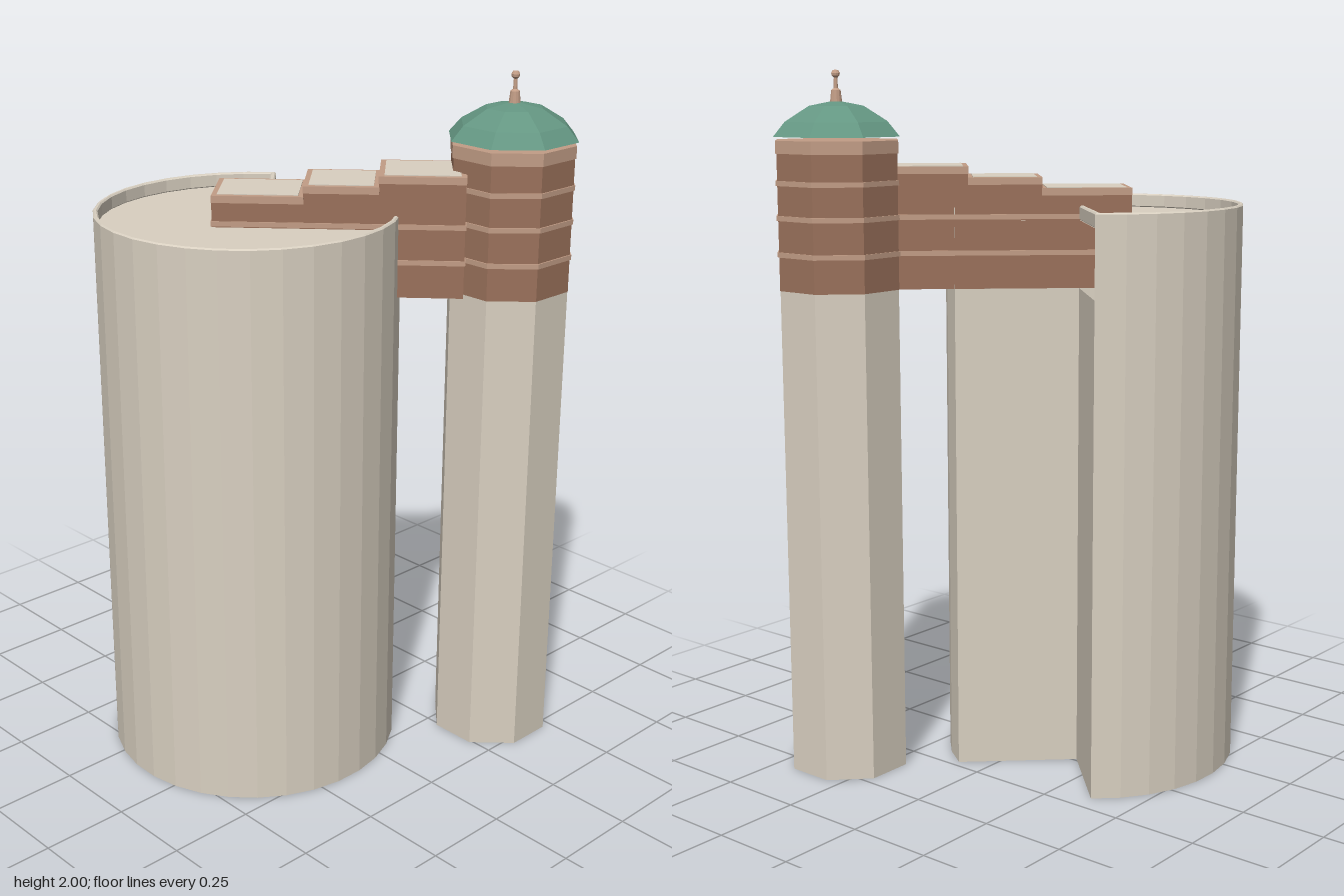
import * as THREE from 'three';

const mat = (name, color) => {
  const m = new THREE.MeshStandardMaterial({ color, side: THREE.DoubleSide, flatShading: true });
  m.name = name;
  return m;
};

export function createModel() {
  const stone = mat('stone', 0xd9d0c1);
  const brick = mat('brick', 0x9a715b);
  const trim = mat('trim', 0xc29d86);
  const copper = mat('copper green', 0x649682);

  const model = new THREE.Group();
  model.name = 'towers';
  const add = (parent, name, geometry, material) => {
    const mesh = new THREE.Mesh(geometry, material);
    mesh.name = name;
    parent.add(mesh);
    return mesh;
  };

  // Round hall: drum with a corner cut out of its back
  const CX = -0.112, CZ = 0.147, R = 0.425, SEG = 26;
  const deg = Math.PI / 180, A0 = 127.4 * deg, A1 = 421.6 * deg;
  const corner = new THREE.Vector2(-0.165, -0.01); // plan points are (x, -z)
  const arc = (r, a0 = A0, a1 = A1) => Array.from({ length: SEG + 1 }, (_, i) => {
    const a = a0 + (a1 - a0) * i / SEG;
    return new THREE.Vector2(CX + r * Math.cos(a), -CZ + r * Math.sin(a));
  });
  const hall = new THREE.Group();
  hall.name = 'roundHall';
  model.add(hall);

  const drum = new THREE.CylinderGeometry(R, R, 1.62, SEG, 1, true, A0 + Math.PI / 2, A1 - A0);
  add(hall, 'drumWall', drum.translate(CX, 0.81, CZ), stone);

  // Straight walls of the cut, stopping below the roof
  const outer = arc(R);
  [outer[0], outer[SEG]].forEach((p, i) => {
    const d = p.clone().sub(corner);
    const wall = add(hall, i ? 'bridgeSideWall' : 'cutWall', new THREE.PlaneGeometry(d.length(), 1.4), stone);
    wall.position.set((p.x + corner.x) / 2, 0.7, -(p.y + corner.y) / 2);
    wall.rotation.y = Math.atan2(d.y, d.x);
  });

  // Roof deck and parapet
  const deck = new THREE.ShapeGeometry(new THREE.Shape([...arc(R - 0.004), corner]));
  add(hall, 'roofDeck', deck.rotateX(-Math.PI / 2).translate(0, 1.59, 0), stone);
  const rim = new THREE.Shape([
    corner, ...outer, ...arc(R - 0.014, A0 + 2.1 * deg).reverse(),
    new THREE.Vector2(corner.x - 0.01, corner.y - 0.01),
  ]);
  const parapet = new THREE.ExtrudeGeometry(rim, {
    depth: 0.033, bevelEnabled: true, bevelThickness: 0.004, bevelSize: 0.004, bevelOffset: -0.004, bevelSegments: 1,
  });
  add(hall, 'parapet', parapet.rotateX(-Math.PI / 2).translate(0, 1.593, 0), stone);

  // Stepped bridge from the roof to the tower
  const bridge = new THREE.Group();
  bridge.name = 'bridge';
  bridge.position.set(-0.271, 0, 0.111);
  bridge.rotation.y = 0.75;
  model.add(bridge);
  const W = 0.203;
  const block = (name, x0, x1, y0, y1, grow, material) => {
    const g = new THREE.BoxGeometry(x1 - x0 + 2 * grow, y1 - y0, W + 2 * grow);
    add(bridge, name, g.translate((x0 + x1) / 2, (y0 + y1) / 2, W / 2), material);
  };
  [[0, 0.25, 1.68], [0.25, 0.455, 1.71], [0.455, 0.69, 1.74]].forEach(([x0, x1, top]) => {
    block('bridgeStep', x0, x1, 1.4, top - 0.022, 0, brick);
    block('stepTrim', x0, x1, top - 0.022, top - 0.002, 0.001, trim);
    block('stepRoof', x0, x1, top - 0.004, top, -0.014, stone);
  });
  for (const y of [1.5, 1.6]) block('bridgeStripe', 0, 0.69, y - 0.007, y + 0.007, 0.003, trim);

  // Octagonal tower
  const tower = new THREE.Group();
  tower.name = 'tower';
  tower.position.set(0.363, 0, -0.404);
  model.add(tower);
  const K = 1 / Math.cos(Math.PI / 8);
  const octagon = (name, apothem, y0, y1, open, material) => {
    const g = new THREE.CylinderGeometry(apothem * K, apothem * K, y1 - y0, 8, 1, open);
    add(tower, name, g.rotateY(Math.PI / 8).translate(0, (y0 + y1) / 2, 0), material);
  };
  octagon('towerShaft', 0.163, 0, 1.4, true, stone);
  octagon('brickStorey', 0.164, 1.4, 1.775, false, brick);
  for (const y of [1.5, 1.6, 1.695]) octagon('towerStripe', 0.168, y - 0.007, y + 0.007, false, trim);
  octagon('towerCornice', 0.167, 1.775, 1.81, false, trim);

  // Faceted dome and finial
  const lathe = (name, points, segments, material) => add(tower, name,
    new THREE.LatheGeometry(points.map(([r, y]) => new THREE.Vector2(r, y)), segments).rotateY(Math.PI / 8), material);
  lathe('dome', [[0.172, 1.82], [0.14, 1.86], [0.075, 1.902], [0, 1.917]].map(([r, y]) => [r * K, y]), 8, copper);
  lathe('finial', [[0.017, 1.91], [0.013, 1.945], [0.006, 1.95], [0.005, 1.978], [0.011, 1.984],
    [0.012, 1.991], [0.008, 1.998], [0, 2]], 12, trim);

  return model;
}
